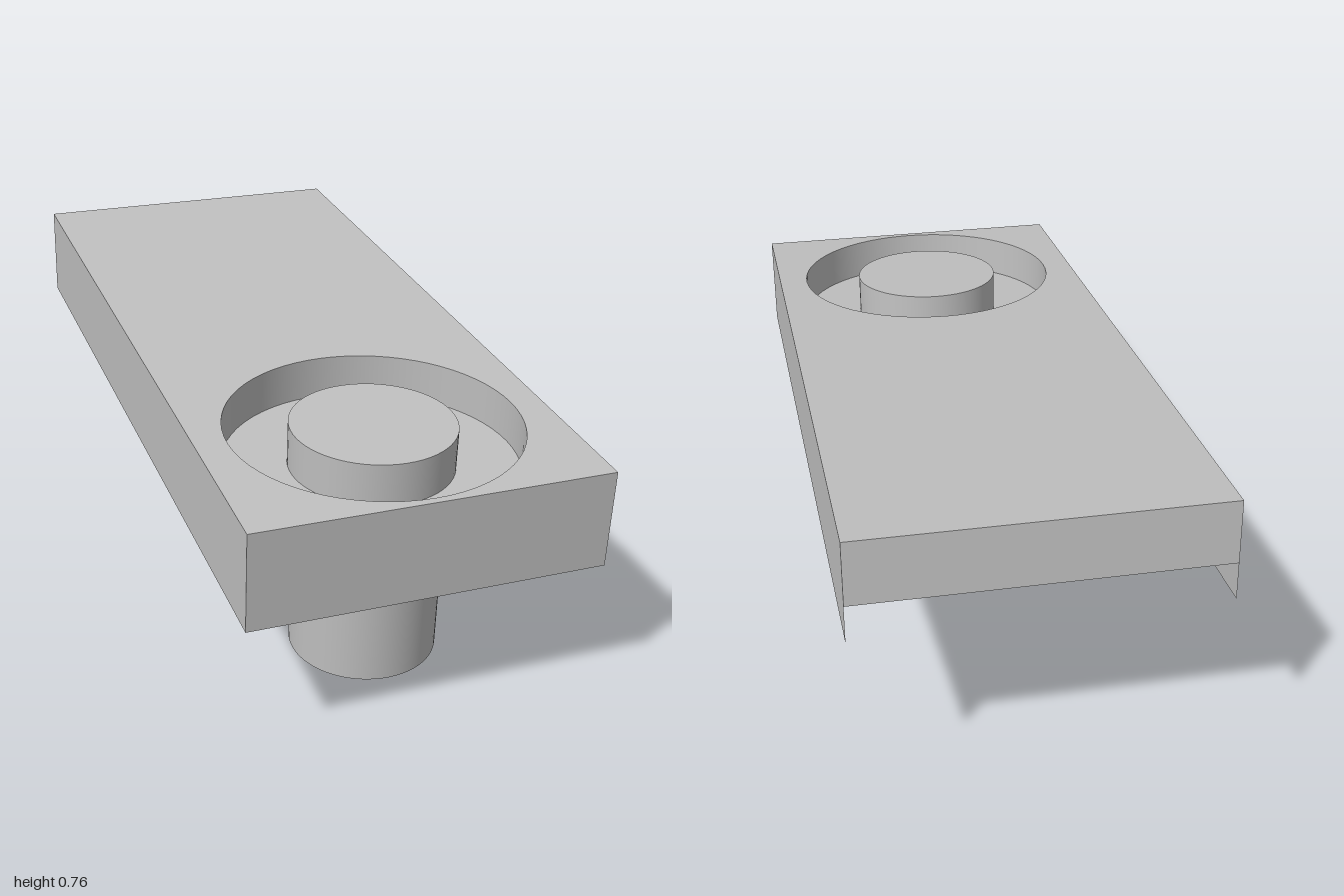
import * as THREE from 'three';

export function createModel() {
  const W = 0.895, L = 1.986, H = 0.255;   // slab width, length and skirt height
  const BODY = 0.16, POCKET = 0.11;        // depths below the top face
  const CZ = 0.606, SEG = 64;              // shared centre of pocket, knob and stem
  const POCKET_R = 0.368, KNOB_R = 0.207, STEM_R = 0.19, STEM_END = 0.627;

  const grey = new THREE.MeshStandardMaterial({ color: 0xc0c0c0, side: THREE.DoubleSide });
  grey.name = 'plain grey';

  const model = new THREE.Group();
  model.name = 'model';
  const slab = new THREE.Group();
  slab.name = 'tiltedSlab';
  slab.position.set(0, 0.685, 0.01);
  slab.rotation.x = Math.atan(0.0757);
  model.add(slab);

  const add = (name, geometry, x = 0, y = 0, z = 0) => {
    const mesh = new THREE.Mesh(geometry, grey);
    mesh.name = name;
    mesh.position.set(x, y, z);
    slab.add(mesh);
  };
  const tube = (r, h) => new THREE.CylinderGeometry(r, r, h, SEG, 1, true);
  const disc = (r, up = true) => new THREE.CircleGeometry(r, SEG).rotateX(up ? -Math.PI / 2 : Math.PI / 2);

  // Top face with the round opening (shape y becomes -z)
  const top = new THREE.Shape([
    new THREE.Vector2(-W / 2, -L / 2), new THREE.Vector2(W / 2, -L / 2),
    new THREE.Vector2(W / 2, L / 2), new THREE.Vector2(-W / 2, L / 2),
  ]);
  top.holes.push(new THREE.Path().absarc(0, -CZ, POCKET_R, 0, Math.PI * 2, true));
  add('topFace', new THREE.ShapeGeometry(top, SEG / 2).rotateX(-Math.PI / 2));

  // Underside, short back face and the thin skirt on the other three sides
  add('underside', new THREE.PlaneGeometry(W, L).rotateX(Math.PI / 2), 0, -BODY, 0);
  add('backFace', new THREE.PlaneGeometry(W, BODY).rotateY(Math.PI), 0, -BODY / 2, -L / 2);
  add('frontSkirt', new THREE.PlaneGeometry(W, H), 0, -H / 2, L / 2);
  for (const s of [1, -1]) {
    add(s > 0 ? 'leftSkirt' : 'rightSkirt',
      new THREE.PlaneGeometry(L, H).rotateY(s * Math.PI / 2), s * W / 2, -H / 2, 0);
  }

  // Round pocket with a knob flush with the top face
  add('pocketWall', tube(POCKET_R, POCKET), 0, -POCKET / 2, CZ);
  add('pocketFloor', new THREE.RingGeometry(KNOB_R, POCKET_R, SEG).rotateX(-Math.PI / 2), 0, -POCKET, CZ);
  add('knobSide', tube(KNOB_R, POCKET), 0, -POCKET / 2, CZ);
  add('knobTop', disc(KNOB_R), 0, 0, CZ);

  // Stem below the slab
  add('stemSide', tube(STEM_R, STEM_END - BODY), 0, -(STEM_END + BODY) / 2, CZ);
  add('stemEnd', disc(STEM_R, false), 0, -STEM_END, CZ);

  return model;
}
